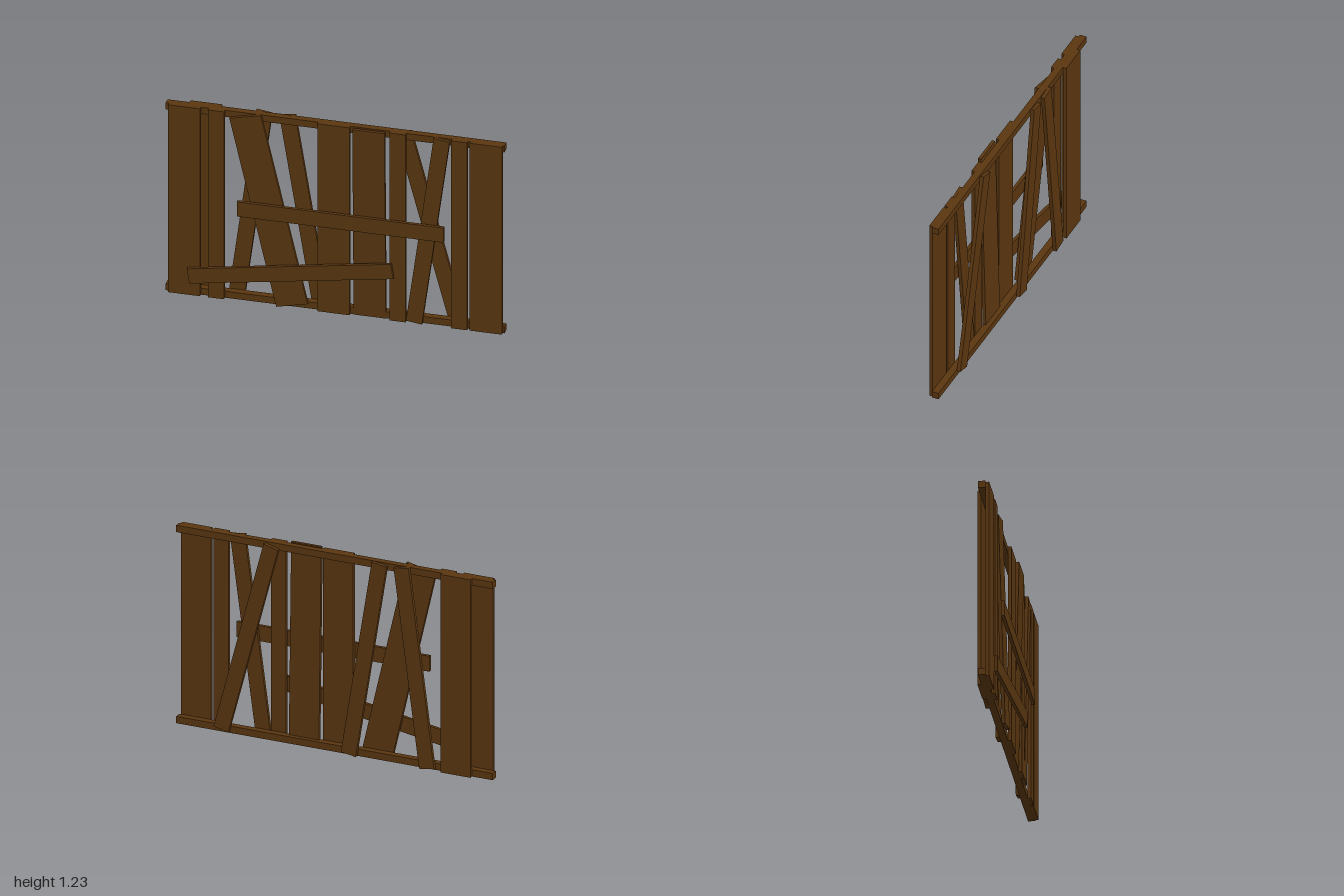
import * as THREE from 'three';

export function createModel() {
  const group = new THREE.Group();
  const wood = new THREE.MeshStandardMaterial({ color: 0x5a3610 });
  wood.name = 'darkWood';

  const LENGTH = 1.22, MID = 0.62, WIDE = 0.19, NARROW = 0.095, THICK = 0.02;
  const FRONT = 0.018, BACK = -0.045, BRACE = 0.047;

  // One straight timber; lean is degrees about z, tip is radians about x
  function timber(name, w, h, d, x, y, z, lean = 0, tip = 0) {
    const mesh = new THREE.Mesh(new THREE.BoxGeometry(w, h, d), wood);
    mesh.name = name;
    mesh.position.set(x, y, z);
    mesh.rotation.set(tip, 0, THREE.MathUtils.degToRad(lean));
    group.add(mesh);
  }

  // Top and bottom rails
  timber('bottomRail', 2, 0.042, 0.042, 0, 0.031, -0.013);
  timber('topRail', 2, 0.042, 0.042, 0, 1.209, -0.013);

  // Planks nailed to the front: [x, width, lean, tip]
  [
    [-0.887, WIDE], [-0.698, NARROW], [-0.388, WIDE, 13.1], [-0.004, WIDE],
    [0.206, WIDE, 0, 0.025], [0.373, NARROW], [0.552, NARROW, -7.7],
    [0.737, NARROW], [0.895, WIDE],
  ].forEach(([x, w, lean, tip], i) =>
    timber(`frontPlank${i + 1}`, w, LENGTH, THICK, x, MID, FRONT, lean, tip));

  // Planks nailed to the back: [x, width, lean]
  [
    [-0.775, WIDE], [-0.512, NARROW, -7.6], [-0.195, NARROW, 9.2], [0.55, NARROW, 15],
  ].forEach(([x, w, lean], i) =>
    timber(`backPlank${i + 1}`, w, LENGTH, 0.022, x, MID, BACK, lean));

  // Boards across the front
  timber('levelBrace', LENGTH, NARROW, THICK, 0.043, 0.624, BRACE);
  timber('slantedBrace', LENGTH, NARROW, THICK, -0.253, 0.246, BRACE, 9.35);

  return group;
}
